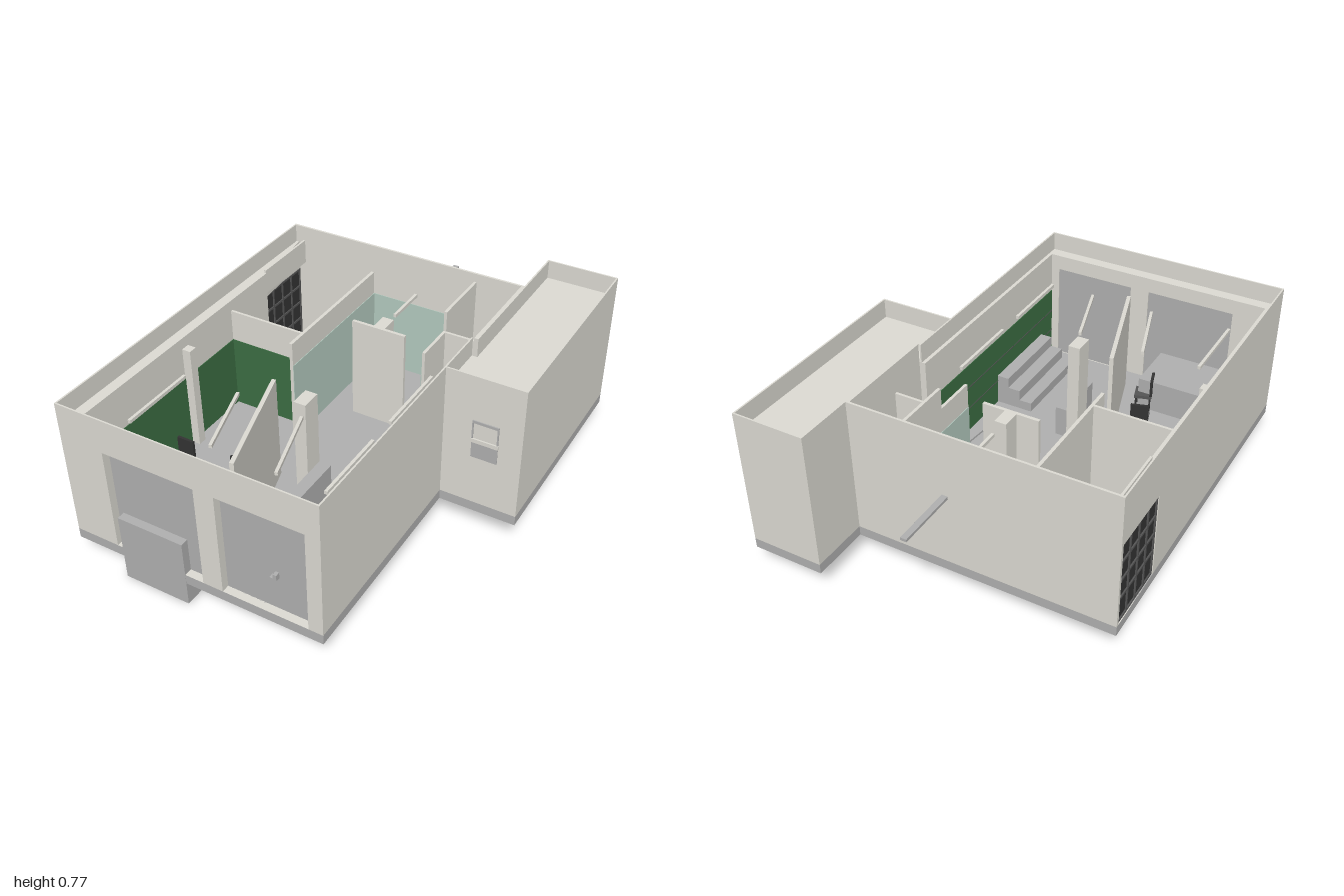
import * as THREE from 'three';

const mat = (c) => new THREE.MeshStandardMaterial({ color: c, flatShading: true, side: THREE.DoubleSide });

export function createModel() {
  const root = new THREE.Group();
  const wall = mat(0xdddbd3), grey = mat(0xb0b0b0), dark = mat(0x555555);
  const green = mat(0x3c6e43), tile = mat(0xb4cbc0), black = mat(0x333333);

  const add = (name, geo, m, parent = root) => {
    const mesh = new THREE.Mesh(geo, m);
    mesh.name = name;
    parent.add(mesh);
    return mesh;
  };
  // Box given by its limits on each axis
  const box = (name, x0, x1, y0, y1, z0, z1, m = wall, parent = root) => {
    const b = add(name, new THREE.BoxGeometry(x1 - x0, y1 - y0, z1 - z0), m, parent);
    b.position.set((x0 + x1) / 2, (y0 + y1) / 2, (z0 + z1) / 2);
    return b;
  };
  // Upright bar between two points on plan
  const bar = (name, xa, za, xb, zb, w, y0, y1, m = wall) => {
    const b = add(name, new THREE.BoxGeometry(w, y1 - y0, Math.hypot(xb - xa, zb - za)), m);
    b.position.set((xa + xb) / 2, (y0 + y1) / 2, (za + zb) / 2);
    b.rotation.y = Math.atan2(xb - xa, zb - za);
    return b;
  };
  const path = (pts) => pts.map(([x, y]) => new THREE.Vector2(x, y));
  const rect = (x0, x1, y0, y1) => path([[x0, y0], [x1, y0], [x1, y1], [x0, y1]]);
  // Plan outline raised from y0 to y1
  const slab = (name, pts, y0, y1, m) => {
    const shape = new THREE.Shape(path(pts.map(([x, z]) => [x, -z])));
    const s = add(name, new THREE.ExtrudeGeometry(shape, { depth: y1 - y0, bevelEnabled: false }), m);
    s.rotation.x = -Math.PI / 2;
    s.position.y = y0;
    return s;
  };
  // Wall panel with rectangular openings, drawn in x and y
  const pierced = (name, outer, holes, depth) => {
    const shape = new THREE.Shape(rect(...outer));
    holes.forEach((h) => shape.holes.push(new THREE.Path(rect(...h))));
    return add(name, new THREE.ExtrudeGeometry(shape, { depth, bevelEnabled: false }), wall);
  };

  const F = 0.155, LEDGE = 0.69, TOP = 0.775, IN = 0.64;

  // Base slab, whose top is the floor
  slab('baseSlab', [[-0.745, -0.65], [0.42, -0.65], [0.42, -0.915], [0.745, -0.915],
    [0.745, 0.07], [0.403, 0.07], [0.403, 1], [-0.745, 1]], 0.11, F, grey);
  box('loadingDock', -0.52, -0.215, 0, 0.31, 0.69, 1.001, grey);

  // Front wall with two doors
  const doors = [[-0.545, -0.13, F, 0.62], [-0.04, 0.34, F, 0.62]];
  pierced('frontWall', [-0.745, 0.403, F, LEDGE], doors, 0.06).position.z = 0.94;
  doors.forEach(([x0, x1, y0, y1]) => box('frontDoor', x0, x1, y0, y1, 0.945, 0.965, grey));
  box('doorHandleGrip', 0.185, 0.2, 0.315, 0.342, 0.965, 0.985, grey);
  box('doorHandleFoot', 0.17, 0.185, 0.315, 0.323, 0.965, 0.985, grey);

  // Side and back walls
  box('rightWall', -0.745, -0.69, F, LEDGE, -0.31, 0.94);
  const rear = pierced('rightRearWall', [0.31, 0.65, F, LEDGE], [[0.325, 0.635, F, 0.55]], 0.022);
  rear.rotation.y = Math.PI / 2;
  rear.position.x = -0.745;
  slab('doorHeader', [[-0.723, -0.64], [-0.69, -0.31], [-0.723, -0.31]], 0.57, LEDGE, wall);
  box('headerBeam', -0.7, -0.69, 0.59, 0.705, -0.64, -0.31);
  box('leftWall', 0.38, 0.403, F, LEDGE, -0.17, 0.94);
  box('leftRearWall', 0.408, 0.42, F, TOP, -0.65, -0.17);
  box('backWall', -0.745, 0.42, F, TOP, -0.65, -0.64);

  // Thin parapets
  const P = 0.007;
  box('frontParapet', -0.745, 0.403, LEDGE, TOP, 1 - P, 1);
  box('rightParapet', -0.745, -0.745 + P, LEDGE, TOP, -0.65, 1);
  box('leftParapet', 0.403 - P, 0.403, LEDGE, TOP, -0.17, 1);

  // Annex with sunken roof
  box('annexBody', 0.42, 0.745, F, LEDGE, -0.915, 0.07);
  box('annexJoint', 0.403, 0.42, F, LEDGE, -0.17, 0.07);
  box('annexParapetLeft', 0.745 - P, 0.745, LEDGE, TOP, -0.915, 0.07);
  box('annexParapetRight', 0.42, 0.42 + P, LEDGE, TOP, -0.915, -0.17);
  box('annexParapetFront', 0.403, 0.745, LEDGE, TOP, 0.07 - P, 0.07);
  box('annexParapetBack', 0.42, 0.745, LEDGE, TOP, -0.915, -0.915 + P);

  // Annex window
  box('windowLowerPane', 0.53, 0.645, 0.388, 0.465, 0.065, 0.072, grey);
  box('windowSill', 0.528, 0.647, 0.465, 0.483, 0.065, 0.078);
  box('windowUpperPane', 0.535, 0.64, 0.483, 0.56, 0.065, 0.071);
  box('windowHead', 0.53, 0.645, 0.558, 0.57, 0.065, 0.075, grey);
  for (const x of [0.53, 0.639]) box('windowJamb', x, x + 0.006, 0.483, 0.56, 0.065, 0.075, grey);

  // Dark panelled garage door
  box('garageDoor', -0.735, -0.725, F, 0.55, -0.635, -0.325, black);
  for (let i = 0; i <= 4; i++) {
    const z = -0.635 + i * 0.0755;
    box('garageDoorStile', -0.741, -0.72, F, 0.55, z, z + 0.008, dark);
  }
  for (const y of [F, 0.27, 0.36, 0.45, 0.54]) {
    box('garageDoorRail', -0.741, -0.72, y, y + 0.01, -0.635, -0.325, dark);
  }

  // Inner partitions
  box('longPartition', -0.33, -0.315, F, IN, -0.64, 0.06);
  box('garagePartition', -0.69, -0.33, F, IN, -0.042, -0.03);
  box('washroomPartition', 0.187, 0.2, F, IN, -0.35, -0.155);
  box('washroomRearPartition', 0.187, 0.2, F, 0.735, -0.64, -0.35);
  box('washroomCrossWall', 0.2, 0.41, F, IN, -0.352, -0.34);
  box('screenWall', -0.19, 0.065, F, IN, -0.24, -0.225);
  box('screenPost', -0.09, -0.037, F, IN, -0.32, -0.24);
  slab('screenCounter', [[-0.09, -0.32], [-0.037, -0.32], [0.04, -0.24], [-0.165, -0.24]], F, 0.3, grey);
  bar('slantedPartition', -0.24, 0.31, -0.08, 0.83, 0.018, F, IN);
  box('wallColumn', -0.69, -0.65, F, IN, 0.28, 0.32);
  box('pillar', -0.09, -0.035, F, IN, 0.31, 0.4);

  // Green wainscot and pale tiles
  const G = 0.495, t = 0.003;
  box('greenPanelBack', -0.69, -0.33, F, G, -0.03, -0.03 + t, green);
  box('greenPanelRight', -0.69, -0.69 + t, F, G, -0.03, 0.94, green);
  box('greenPanelLeft', 0.38 - t, 0.38, F, G, -0.16, 0.94, green);
  for (const y of [0.27, 0.38]) box('greenPanelGroove', 0.375, 0.38, y, y + 0.004, -0.16, 0.94, dark);
  box('tilesRight', -0.315, -0.315 + t, F, 0.53, -0.64, 0.06, tile);
  box('tilesBack', -0.315, 0.187, F, 0.53, -0.64, -0.64 + t, tile);
  box('tilesLeft', 0.187 - t, 0.187, F, 0.53, -0.64, -0.155, tile);

  // Ceiling lamps and the outside rod
  [[-0.065, -0.58, -0.065, -0.38], [0.29, 0.44, 0.29, 0.78], [0.29, -0.04, 0.29, 0.31],
    [-0.58, 0.45, -0.58, 0.8], [-0.325, 0.44, -0.22, 0.77], [-0.02, 0.45, 0.08, 0.78]]
    .forEach((p) => bar('lamp', ...p, 0.013, 0.613, 0.628));
  bar('outsideRod', -0.065, -1, -0.065, -0.73, 0.026, 0.558, 0.57, grey);

  // Stepped bench, counter and small boxes
  for (let i = 0; i < 3; i++) {
    box('benchStep', 0.2 + i * 0.06, 0.26 + i * 0.06, F, 0.2 + i * 0.05, 0.405, 0.83, grey);
  }
  box('counter', -0.035, 0.02, F, 0.3, 0.31, 0.57, grey);
  box('stool', -0.445, -0.39, F, 0.24, 0.24, 0.295, grey);
  slab('floorMat', [[0.335, -0.06], [0.355, 0.2], [0.345, 0.355], [0.33, 0.35], [0.31, 0.2]], F, 0.165, grey);
  box('wallCabinet', 0.403, 0.408, 0.3, 0.5, -0.16, -0.04, grey);

  // Garage furniture
  box('cabinet', -0.555, -0.46, F, 0.32, -0.57, -0.475, black);
  box('workbench', -0.555, -0.46, F, 0.26, -0.475, -0.3, dark);
  box('toolbox', -0.55, -0.465, F, 0.24, -0.12, -0.052, dark);

  // Chairs
  [[-0.58, 0.525, 0], [-0.58, 0.73, 0], [-0.305, 0.51, 0.3], [-0.24, 0.7, 1.87]].forEach(([x, z, a]) => {
    const chair = new THREE.Group();
    chair.name = 'chair';
    chair.position.set(x, F, z);
    chair.rotation.y = a;
    box('chairSeat', -0.04, 0.04, 0.07, 0.085, -0.04, 0.04, dark, chair);
    box('chairBack', -0.04, 0.04, 0.085, 0.17, -0.042, -0.03, black, chair);
    for (const sx of [-0.036, 0.028]) for (const sz of [-0.036, 0.028]) {
      box('chairLeg', sx, sx + 0.008, 0, 0.07, sz, sz + 0.008, black, chair);
    }
    root.add(chair);
  });

  // Washroom fittings
  box('toiletTank', 0.262, 0.315, F, 0.3, -0.64, -0.615);
  const bowl = add('toiletBowl', new THREE.CylinderGeometry(0.027, 0.02, 0.09, 16), wall);
  bowl.scale.z = 1.3;
  bowl.position.set(0.289, F + 0.045, -0.593);
  box('washbasin', 0.385, 0.41, 0.27, 0.31, -0.42, -0.36);

  return root;
}
